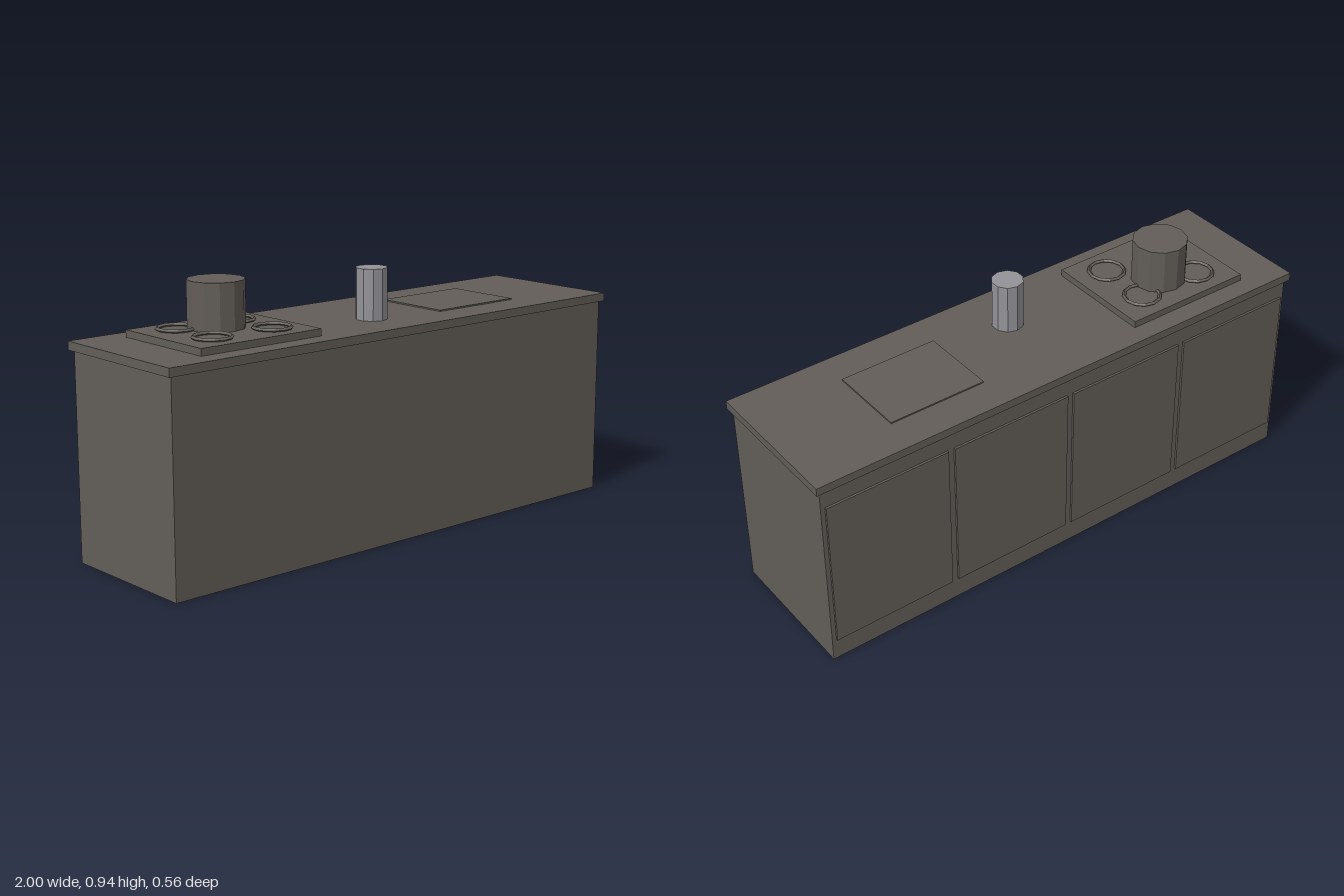
import * as THREE from 'three';

export function createModel() {
  const model = new THREE.Group();
  model.name = 'kitchenCounter';

  const stone = new THREE.MeshStandardMaterial({ color: 0x625d57, flatShading: true });
  stone.name = 'warm dark grey';
  const steel = new THREE.MeshStandardMaterial({ color: 0x929298, flatShading: true });
  steel.name = 'pale steel grey';

  const add = (name, geometry, material, x, y, z) => {
    const mesh = new THREE.Mesh(geometry, material);
    mesh.name = name;
    mesh.position.set(x, y, z);
    model.add(mesh);
    return mesh;
  };
  // Box and upright cylinder placed by the height of their base
  const box = (name, w, h, d, x, base, z) =>
    add(name, new THREE.BoxGeometry(w, h, d), stone, x, base + h / 2, z);
  const cylinder = (name, r, h, sides, material, x, base, z) =>
    add(name, new THREE.CylinderGeometry(r, r, h, sides), material, x, base + h / 2, z);

  // Cabinet body and overhanging worktop
  box('cabinet', 1.97, 0.725, 0.532, 0, 0, 0);
  box('worktop', 2, 0.03, 0.557, 0, 0.725, 0);

  // Four door panels along the back
  for (let i = 0; i < 4; i++) {
    box('door', 0.466, 0.572, 0.018, -0.737 + i * 0.491, 0.084, -0.265);
  }

  // Hob with four burner rings
  box('hob', 0.492, 0.025, 0.41, -0.578, 0.755, 0);
  for (const sx of [-1, 1]) {
    for (const sz of [-1, 1]) {
      const ring = add('burnerRing', new THREE.TorusGeometry(0.064, 0.007, 4, 12), stone,
        -0.576 + sx * 0.123, 0.785, sz * 0.098);
      ring.rotation.x = -Math.PI / 2;
    }
  }

  // Pot on the hob, steel canister and thin board on the worktop
  cylinder('pot', 0.098, 0.163, 12, stone, -0.576, 0.78, -0.041);
  cylinder('canister', 0.0565, 0.18, 10, steel, 0, 0.755, 0.083);
  box('cuttingBoard', 0.367, 0.005, 0.292, 0.453, 0.755, 0);

  return model;
}
